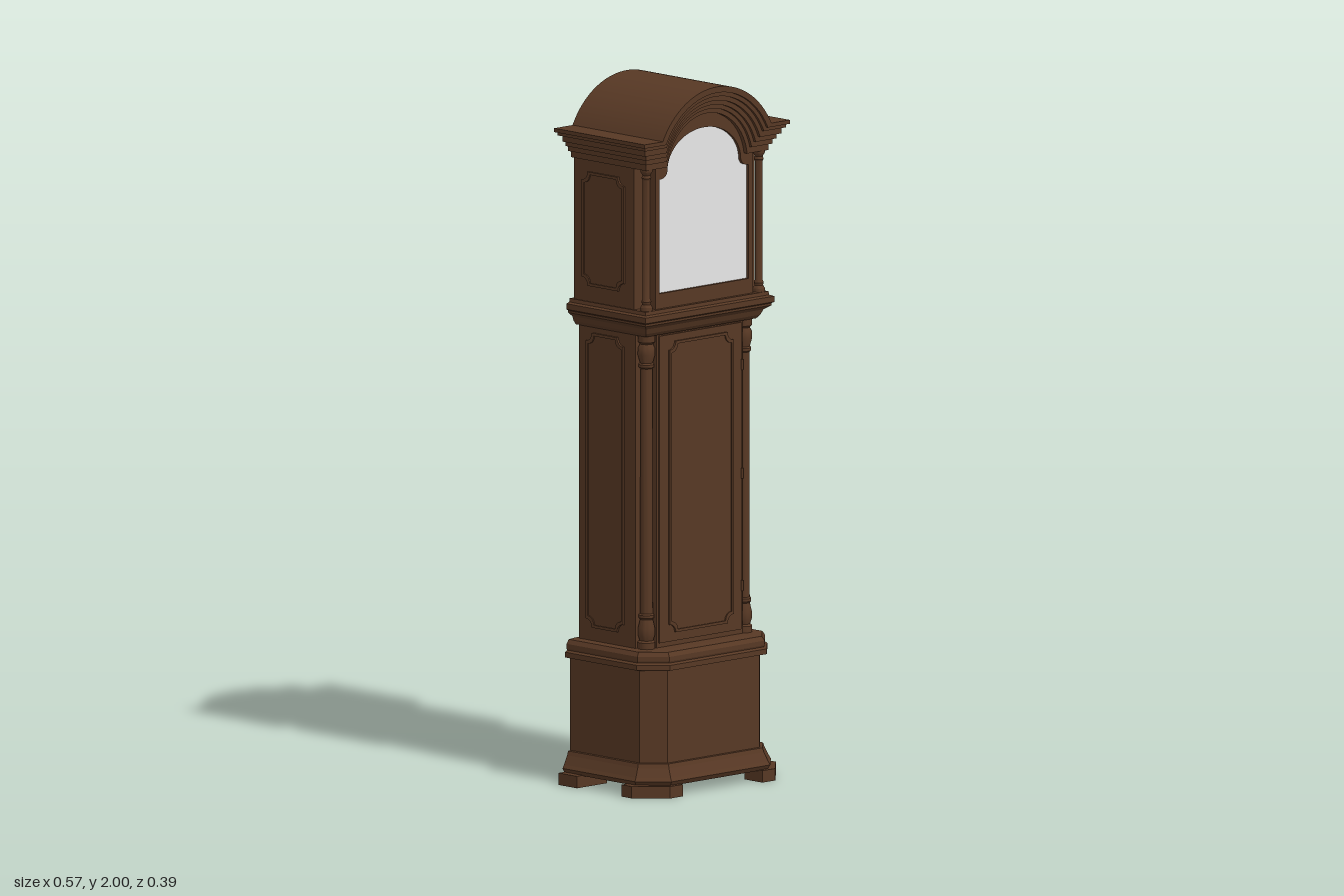
import * as THREE from 'three';
import { toCreasedNormals } from 'three/addons/utils/BufferGeometryUtils.js';

const wood = new THREE.MeshStandardMaterial({ color: 0x573824 });
wood.name = 'dark wood';
const pale = new THREE.MeshStandardMaterial({ color: 0xe8e8e8 });
pale.name = 'pale glass';

export function createModel() {
  const model = new THREE.Group();
  model.name = 'longcaseClock';

  const add = (name, geo, x = 0, y = 0, z = 0, mat = wood) => {
    const m = new THREE.Mesh(geo, mat);
    m.name = name;
    m.position.set(x, y, z);
    model.add(m);
    return m;
  };
  const box = (name, x0, x1, y0, y1, z0, z1) =>
    add(name, new THREE.BoxGeometry(x1 - x0, y1 - y0, z1 - z0), (x0 + x1) / 2, (y0 + y1) / 2, (z0 + z1) / 2);
  const extrude = (shape, depth) => toCreasedNormals(
    new THREE.ExtrudeGeometry(shape, { depth, bevelEnabled: false, curveSegments: 28 }), 0.5);

  // Moulded block: a plan with optional cut front corners, swept through [offset, y] steps
  function moulding(name, w, zb, zf, cut, steps) {
    const rings = steps.map(([o, y]) => {
      const k = cut ? 0.414 * o : o;
      const half = [[w + o, zb], [w + o, zf - cut + k]];
      if (cut) half.push([w - cut + k, zf + o]);
      const left = half.map(([x, z]) => [-x, y, z]);
      const right = half.map(([x, z]) => [x, y, z]).reverse();
      return [...left, ...right];
    });
    const pos = [];
    const tri = (...p) => p.forEach(v => pos.push(...v));
    const n = rings[0].length;
    for (let r = 0; r < rings.length - 1; r++) {
      for (let i = 0; i < n; i++) {
        const j = (i + 1) % n, a = rings[r], b = rings[r + 1];
        tri(a[i], a[j], b[j]);
        tri(a[i], b[j], b[i]);
      }
    }
    const lo = rings[0], hi = rings[rings.length - 1];
    for (let i = 1; i < n - 1; i++) {
      tri(lo[0], lo[i + 1], lo[i]);
      tri(hi[0], hi[i], hi[i + 1]);
    }
    const geo = new THREE.BufferGeometry();
    geo.setAttribute('position', new THREE.Float32BufferAttribute(pos, 3));
    geo.computeVertexNormals();
    return add(name, geo);
  }

  // Rectangle with scooped corners, for the panels
  function scooped(w, h, r) {
    const s = new THREE.Shape(), P = Math.PI;
    const a = w / 2, b = h / 2;
    s.moveTo(-a + r, -b);
    s.absarc(a, -b, r, P, P / 2, true);
    s.absarc(a, b, r, 1.5 * P, P, true);
    s.absarc(-a, b, r, 2 * P, 1.5 * P, true);
    s.absarc(-a, -b, r, P / 2, 0, true);
    s.closePath();
    return s;
  }
  function panel(name, w, h, x, y, z, turn) {
    const rim = scooped(w, h, 0.024);
    rim.holes.push(scooped(w - 0.016, h - 0.016, 0.024));
    add(name + 'Rim', extrude(rim, 0.006), x, y, z).rotation.y = turn;
    add(name, extrude(scooped(w - 0.016, h - 0.016, 0.024), 0.002), x, y, z).rotation.y = turn;
  }

  const turned = (name, pts, x, z) => add(name, toCreasedNormals(
    new THREE.LatheGeometry(pts.map(p => new THREE.Vector2(...p)), 20), 0.6), x, 0, z);

  // Base with flared skirt and top moulding
  moulding('base', 0.235, -0.18, 0.155, 0.055, [[0, 0.06], [0, 0.37]]);
  moulding('skirt', 0.235, -0.18, 0.155, 0.055,
    [[0.022, 0.032], [0.03, 0.045], [0.024, 0.055], [0.012, 0.08], [0.008, 0.092], [0, 0.093]]);
  moulding('baseMoulding', 0.235, -0.18, 0.155, 0.055,
    [[0, 0.355], [0.02, 0.36], [0.02, 0.375], [0.012, 0.38], [0.014, 0.385], [0.014, 0.398], [0.006, 0.41], [-0.02, 0.412]]);

  // Trunk: body stepped back at the front corners to hold the columns
  box('trunkBody', -0.215, 0.215, 0.4, 1.33, -0.165, 0.062);
  box('trunkFront', -0.168, 0.168, 0.4, 1.33, 0.05, 0.098);
  box('trunkDoor', -0.16, 0.16, 0.425, 1.3, 0.09, 0.102);
  panel('trunkDoorPanel', 0.25, 0.83, 0, 0.865, 0.102, 0);
  for (const y of [0.55, 0.87, 1.18]) {
    add('trunkHinge', new THREE.CylinderGeometry(0.004, 0.004, 0.03, 10), 0.162, y, 0.104);
  }

  // Waist moulding under the hood
  moulding('waistMoulding', 0.215, -0.178, 0.105, 0,
    [[0, 1.305], [0.008, 1.315], [0.014, 1.33], [0.03, 1.342], [0.03, 1.348], [0.036, 1.352], [0.036, 1.368], [0.026, 1.372], [0.024, 1.382]]);

  // Hood body with arched top
  const cy = 1.763;
  function archOutline(w, yb, ys, R) {
    const a = Math.asin((ys - cy) / R);
    const s = new THREE.Shape();
    s.moveTo(-w, yb);
    s.lineTo(-w, ys);
    s.absarc(0, cy, R, Math.PI - a, a, true);
    s.lineTo(w, ys);
    s.lineTo(w, yb);
    return s;
  }
  add('hoodBody', extrude(archOutline(0.235, 1.375, 1.84, 0.215), 0.243), 0, 0, -0.165);

  // Arched cornice: stepped bands, each with an arched opening
  const bands = [
    [0.274, 1.849, 1.866, 0.234, 0.208, -0.19, 0.163],
    [0.266, 1.832, 1.852, 0.213, 0.195, -0.18, 0.155],
    [0.255, 1.818, 1.836, 0.2, 0.182, -0.178, 0.146],
    [0.246, 1.803, 1.822, 0.187, 0.17, -0.178, 0.138],
    [0.239, 1.785, 1.806, 0.175, 0.157, -0.172, 0.13],
    [0.283, 1.859, 1.87, 0.237, 0.22, -0.195, 0.17],
  ];
  for (const [w, yb, ys, R, Ri, z0, z1] of bands) {
    const s = archOutline(w, yb, ys, R);
    const b = Math.asin((yb - cy) / Ri);
    s.absarc(0, cy, Ri, b, Math.PI - b, false);
    s.closePath();
    add('corniceBand', extrude(s, z1 - z0), 0, 0, z0);
  }

  // Hood door frame and its pane
  function paneShape(Type) {
    const s = new Type();
    s.moveTo(-0.174, 1.425);
    s.lineTo(0.174, 1.425);
    s.lineTo(0.174, 1.75);
    s.quadraticCurveTo(0.148, 1.75, 0.143, 1.77);
    s.absellipse(0, 1.77, 0.143, 0.108, 0, Math.PI, false);
    s.quadraticCurveTo(-0.148, 1.75, -0.174, 1.75);
    s.closePath();
    return s;
  }
  const frame = archOutline(0.19, 1.382, 1.8, 0.168);
  frame.holes.push(paneShape(THREE.Path));
  add('hoodDoorFrame', extrude(frame, 0.04), 0, 0, 0.077);
  add('pane', new THREE.ShapeGeometry(paneShape(THREE.Shape), 28), 0, 0, 0.108, pale);

  for (const s of [-1, 1]) {
    // Turned columns on the trunk corners
    turned('trunkColumn', [
      [0, 0.41], [0.025, 0.41], [0.025, 0.43], [0.019, 0.435], [0.024, 0.45], [0.024, 0.47], [0.018, 0.495],
      [0.022, 0.5], [0.022, 0.508], [0.018, 0.512], [0.017, 1.21], [0.022, 1.214], [0.022, 1.222], [0.018, 1.226],
      [0.025, 1.25], [0.024, 1.268], [0.018, 1.28], [0.024, 1.286], [0.025, 1.315], [0, 1.315]], s * 0.189, 0.08);

    // Slim free-standing columns on the hood
    turned('hoodColumn', [
      [0, 1.38], [0.017, 1.38], [0.017, 1.392], [0.012, 1.4], [0.014, 1.408], [0.011, 1.415],
      [0.011, 1.755], [0.014, 1.76], [0.011, 1.768], [0.017, 1.778], [0.017, 1.8], [0, 1.8]], s * 0.219, 0.111);

    // Side panels
    panel('trunkSidePanel', 0.15, 0.84, s * 0.215, 0.87, -0.057, s * Math.PI / 2);
    panel('hoodSidePanel', 0.17, 0.325, s * 0.235, 1.59, -0.043, s * Math.PI / 2);

    // Bracket feet, the front pair with cut corners
    const foot = new THREE.Shape([
      [0.155, 0.192], [0.205, 0.192], [0.281, 0.116], [0.281, 0.075], [0.21, 0.075], [0.155, 0.12],
    ].map(([x, z]) => new THREE.Vector2(s * x, -z)));
    add('frontFoot', extrude(foot, 0.034).rotateX(-Math.PI / 2));
    box('backFoot', s < 0 ? -0.281 : 0.165, s < 0 ? -0.165 : 0.281, 0, 0.034, -0.18, -0.105);
  }

  // Small fittings on the back panel
  for (const y of [1.49, 1.685]) box('backHinge', 0.19, 0.21, y - 0.022, y + 0.022, -0.172, -0.16);
  box('backCatch', -0.18, -0.17, 1.57, 1.6, -0.169, -0.16);

  return model;
}
